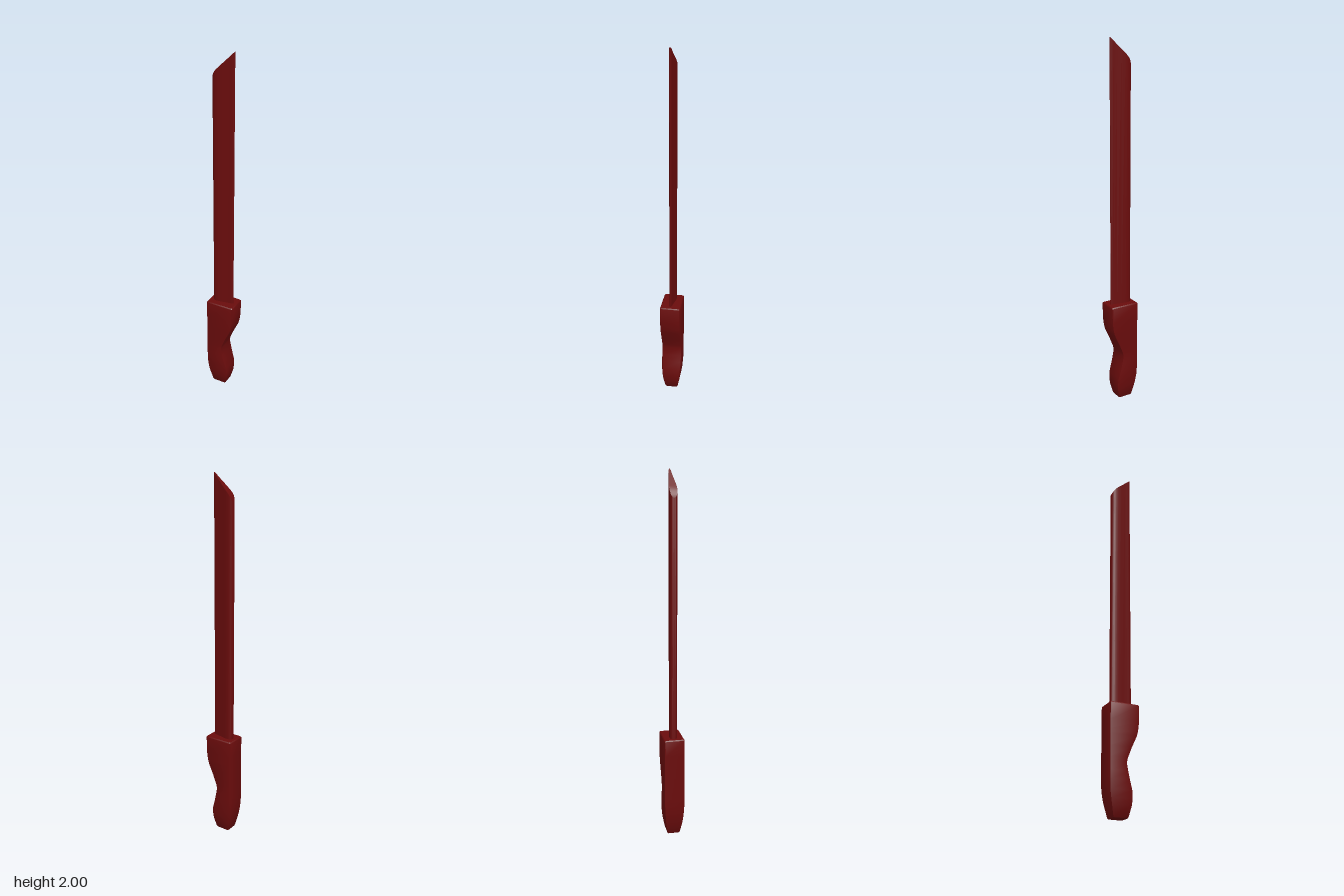
import * as THREE from 'three';
import { toCreasedNormals } from 'three/addons/utils/BufferGeometryUtils.js';

const material = new THREE.MeshStandardMaterial({ color: 0x6a0c0c });

// Mirrors a half outline of [x, z] (running from -x to +x, z > 0) into a closed one.
function mirrorOutline(half) {
  return [...half, ...half.map(([x, z]) => [x, -z]).reverse()];
}

// Skins a stack of equal rings of [x, y, z], bottom to top, and closes both ends.
function loft(rings, crease) {
  const n = rings[0].length;
  const index = [];
  for (let r = 0; r < rings.length - 1; r++) {
    for (let i = 0; i < n; i++) {
      const a = r * n + i, b = r * n + (i + 1) % n;
      index.push(a, b, b + n, a, b + n, a + n);
    }
  }
  // Each cap is a strip joining mirrored outline points
  const top = (rings.length - 1) * n;
  for (let i = 0; i < n / 2 - 1; i++) {
    const p = i, p1 = i + 1, q = n - 1 - i, q1 = n - 2 - i;
    index.push(top + p, top + p1, top + q1, top + p, top + q1, top + q);
    index.push(p, q1, p1, p, q, q1);
  }
  const geometry = new THREE.BufferGeometry();
  geometry.setAttribute('position', new THREE.Float32BufferAttribute(rings.flat(2), 3));
  geometry.setIndex(index);
  return toCreasedNormals(geometry, crease);
}

// Blade: teardrop section, thick rounded spine at -x, thin edge at +x, slanted tip
function createBlade() {
  const outline = mirrorOutline([
    [-0.061, 0.004], [-0.059, 0.01], [-0.054, 0.016], [-0.046, 0.0195], [-0.036, 0.0205],
    [-0.022, 0.0195], [0, 0.0155], [0.025, 0.01], [0.042, 0.007], [0.054, 0.0055], [0.059, 0.002],
  ]);
  const tipHeight = (x) => {
    const slant = 2 - (0.059 - x) * 0.98;
    const round = Math.max(0, (-0.035 - x) / 0.026);
    return slant - 0.022 * round * round;
  };
  const rings = [
    outline.map(([x, z]) => [x, 0.55, z]),
    outline.map(([x, z]) => [x, tipHeight(x), z]),
  ];
  return new THREE.Mesh(loft(rings, 0.6), material);
}

// Handle: bevelled box section that follows a finger-grip profile
function createHandle() {
  const bevel = 0.005;
  // [y, back x, front x, half depth]
  const profile = [
    [0, -0.053, 0.024, 0.033], [0.006, -0.056, 0.028, 0.036],
    [0.06, -0.068, 0.041, 0.046], [0.09, -0.074, 0.043, 0.05],
    [0.13, -0.08, 0.041, 0.053], [0.18, -0.082, 0.027, 0.056],
    [0.22, -0.082, 0.018, 0.056], [0.265, -0.082, 0.01, 0.056],
    [0.29, -0.082, 0.016, 0.056], [0.345, -0.082, 0.038, 0.056],
    [0.405, -0.082, 0.066, 0.056], [0.43, -0.082, 0.073, 0.056],
    [0.48, -0.082, 0.08, 0.056], [0.566, -0.082, 0.081, 0.056],
    [0.572, -0.078, 0.077, 0.052],
  ];
  const rings = profile.map(([y, x0, x1, d]) => mirrorOutline([
    [x0, d - bevel], [x0 + bevel * 0.3, d - bevel * 0.3], [x0 + bevel, d],
    [x1 - bevel, d], [x1 - bevel * 0.3, d - bevel * 0.3], [x1, d - bevel],
  ]).map(([x, z]) => [x, y, z]));
  return new THREE.Mesh(loft(rings, 0.6), material);
}

export function createModel() {
  const model = new THREE.Group();
  model.name = 'knife';
  const blade = createBlade();
  blade.name = 'blade';
  const handle = createHandle();
  handle.name = 'handle';
  model.add(blade, handle);
  return model;
}
